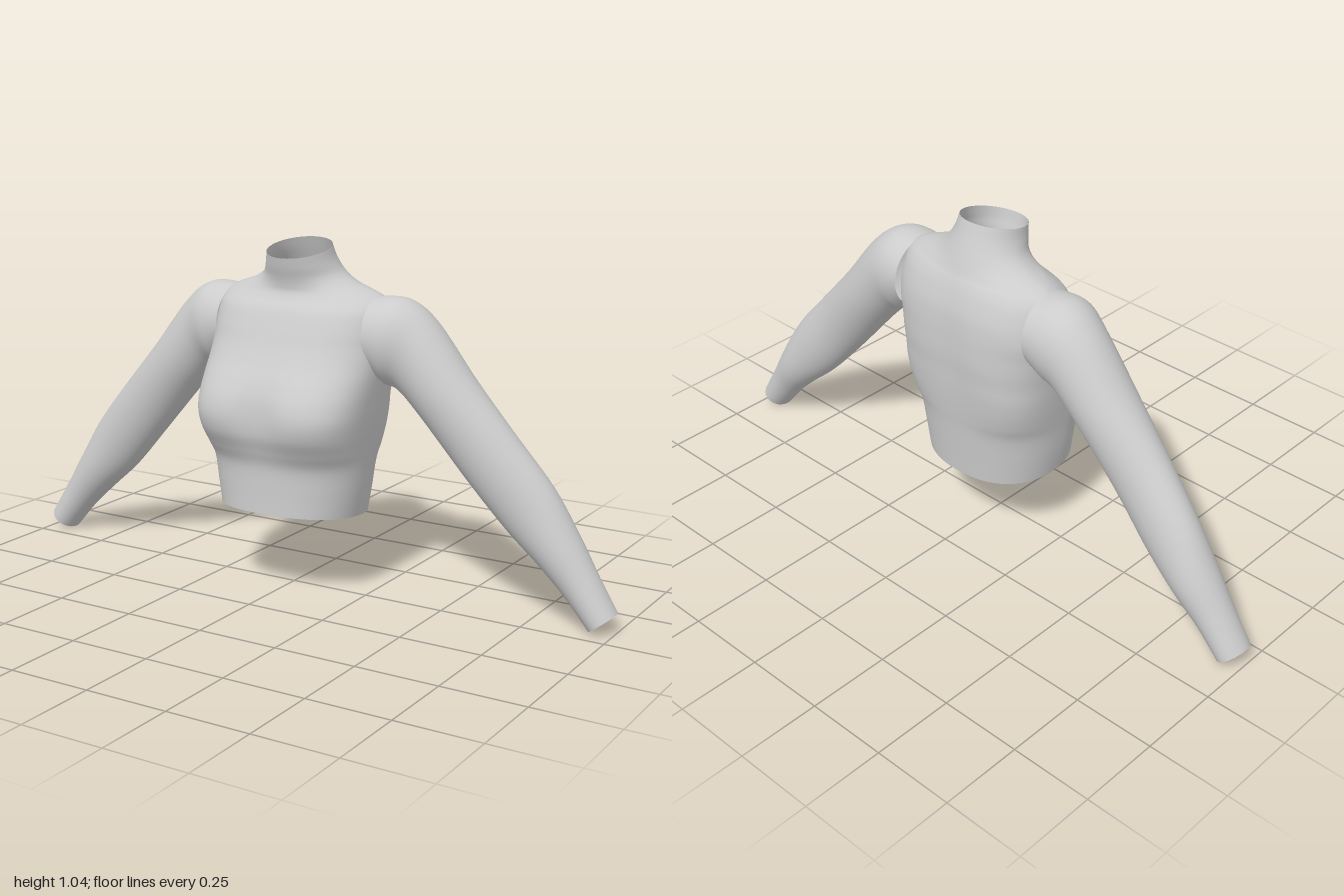
import * as THREE from 'three';

const fabric = new THREE.MeshStandardMaterial({ color: 0xcccccc, side: THREE.DoubleSide });

// Smooth (Catmull-Rom) blend through rows of section values, u from 0 to 1
function sampleRows(rows, u) {
  const f = u * (rows.length - 1);
  const i = Math.min(Math.floor(f), rows.length - 2), t = f - i;
  const at = (k) => rows[Math.max(0, Math.min(rows.length - 1, k))];
  return rows[0].map((_, j) => {
    const [a, b, c, d] = [at(i - 1)[j], at(i)[j], at(i + 1)[j], at(i + 2)[j]];
    return b + 0.5 * t * (c - a + t * (2 * a - 5 * b + 4 * c - d + t * (3 * (b - c) + d - a)));
  });
}

// Open tube skinned over closed rings; skip(point) leaves holes
function loft(name, rows, rings, sides, pointAt, flip = false, skip = () => false) {
  const pts = [], index = [];
  for (let r = 0; r <= rings; r++) {
    const row = sampleRows(rows, r / rings);
    for (let k = 0; k < sides; k++) pts.push(pointAt(row, (k / sides) * Math.PI * 2));
  }
  for (let r = 0; r < rings; r++) {
    for (let k = 0; k < sides; k++) {
      const a = r * sides + k, b = r * sides + ((k + 1) % sides);
      const c = a + sides, d = b + sides;
      const mid = pts[a].clone().add(pts[d]).multiplyScalar(0.5);
      if (skip(mid)) continue;
      if (flip) index.push(a, b, c, b, d, c);
      else index.push(a, c, b, b, c, d);
    }
  }
  const geometry = new THREE.BufferGeometry().setFromPoints(pts);
  geometry.setIndex(index);
  geometry.computeVertexNormals();
  const mesh = new THREE.Mesh(geometry, fabric);
  mesh.name = name;
  return mesh;
}

// Height, half width, front z, back z, side z, squareness, tilt
const bodyRows = [
  [0.246, 0.222, 0.18, -0.19, 0.0, 2.3, 0.08],
  [0.32, 0.235, 0.178, -0.197, 0.0, 2.3, 0.04],
  [0.4, 0.245, 0.18, -0.205, 0.0, 2.4, 0],
  [0.45, 0.252, 0.2, -0.211, 0.0, 2.8, 0],
  [0.5, 0.259, 0.225, -0.217, 0.0, 3.1, 0],
  [0.55, 0.265, 0.233, -0.222, 0.0, 3.2, 0],
  [0.6, 0.27, 0.223, -0.226, -0.01, 3.0, 0],
  [0.65, 0.275, 0.196, -0.23, -0.03, 2.8, 0],
  [0.7, 0.28, 0.162, -0.23, -0.05, 2.6, 0],
  [0.75, 0.284, 0.133, -0.227, -0.07, 2.5, 0],
  [0.8, 0.284, 0.11, -0.22, -0.07, 2.4, 0],
  [0.85, 0.28, 0.085, -0.205, -0.07, 2.2, 0],
  [0.88, 0.268, 0.06, -0.193, -0.075, 1.9, 0],
  [0.9, 0.235, 0.05, -0.183, -0.075, 1.7, 0],
  [0.92, 0.172, 0.05, -0.172, -0.07, 1.75, -0.04],
  [0.945, 0.128, 0.054, -0.158, -0.06, 1.9, -0.1],
  [0.98, 0.106, 0.063, -0.14, -0.04, 2, -0.17],
  [1.015, 0.097, 0.07, -0.125, -0.03, 2, -0.22],
];

function bodyPoint([y, w, front, back, side, n, tilt], angle) {
  const c = Math.cos(angle), s = Math.sin(angle);
  const x = w * Math.sign(c) * Math.abs(c) ** (2 / n);
  let z = side + ((s > 0 ? front : back) - side) * Math.abs(s) ** (2 / n);
  // Shallow hollows at the middle of the chest and along the spine
  if (s > 0) z -= 0.022 * Math.exp(-((x / 0.07) ** 2) - ((y - 0.56) / 0.09) ** 2);
  else z += 0.007 * Math.exp(-((x / 0.06) ** 2) - ((y - 0.68) / 0.15) ** 2);
  return new THREE.Vector3(x, y + tilt * z, z);
}

// Armholes, covered by the sleeve ends
const inArmhole = (p) =>
  Math.abs(p.x) > 0.2 && ((p.y - 0.775) / 0.1) ** 2 + ((p.z + 0.07) / 0.09) ** 2 < 1;

// Upper edge x, y; lower edge x, y; front z, back z
const sleeveRows = [
  [0.245, 0.892, 0.255, 0.665, 0.045, -0.186],
  [0.335, 0.892, 0.285, 0.638, 0.045, -0.187],
  [0.42, 0.833, 0.325, 0.622, 0.026, -0.18],
  [0.545, 0.68, 0.395, 0.555, 0.018, -0.172],
  [0.67, 0.54, 0.54, 0.39, 0.0, -0.158],
  [0.79, 0.4, 0.665, 0.255, -0.015, -0.163],
  [0.868, 0.277, 0.768, 0.165, -0.02, -0.165],
  [0.935, 0.165, 0.85, 0.088, -0.028, -0.15],
  [1.0, 0.06, 0.925, 0.003, -0.03, -0.142],
];

function sleevePoint(sign) {
  return ([tx, ty, bx, by, front, back], angle) => {
    const c = Math.cos(angle), s = Math.sin(angle);
    return new THREE.Vector3(
      sign * ((tx + bx) / 2 + ((tx - bx) / 2) * c),
      (ty + by) / 2 + ((ty - by) / 2) * c,
      (front + back) / 2 + ((front - back) / 2) * s,
    );
  };
}

export function createModel() {
  const top = new THREE.Group();
  top.name = 'croppedTop';
  // Body with hem, shoulders and raised collar
  top.add(loft('body', bodyRows, 102, 96, bodyPoint, false, inArmhole));
  // Long tapering sleeves, open at the cuffs
  for (const [name, sign] of [['leftSleeve', 1], ['rightSleeve', -1]]) {
    top.add(loft(name, sleeveRows, 64, 48, sleevePoint(sign), sign > 0));
  }
  return top;
}
